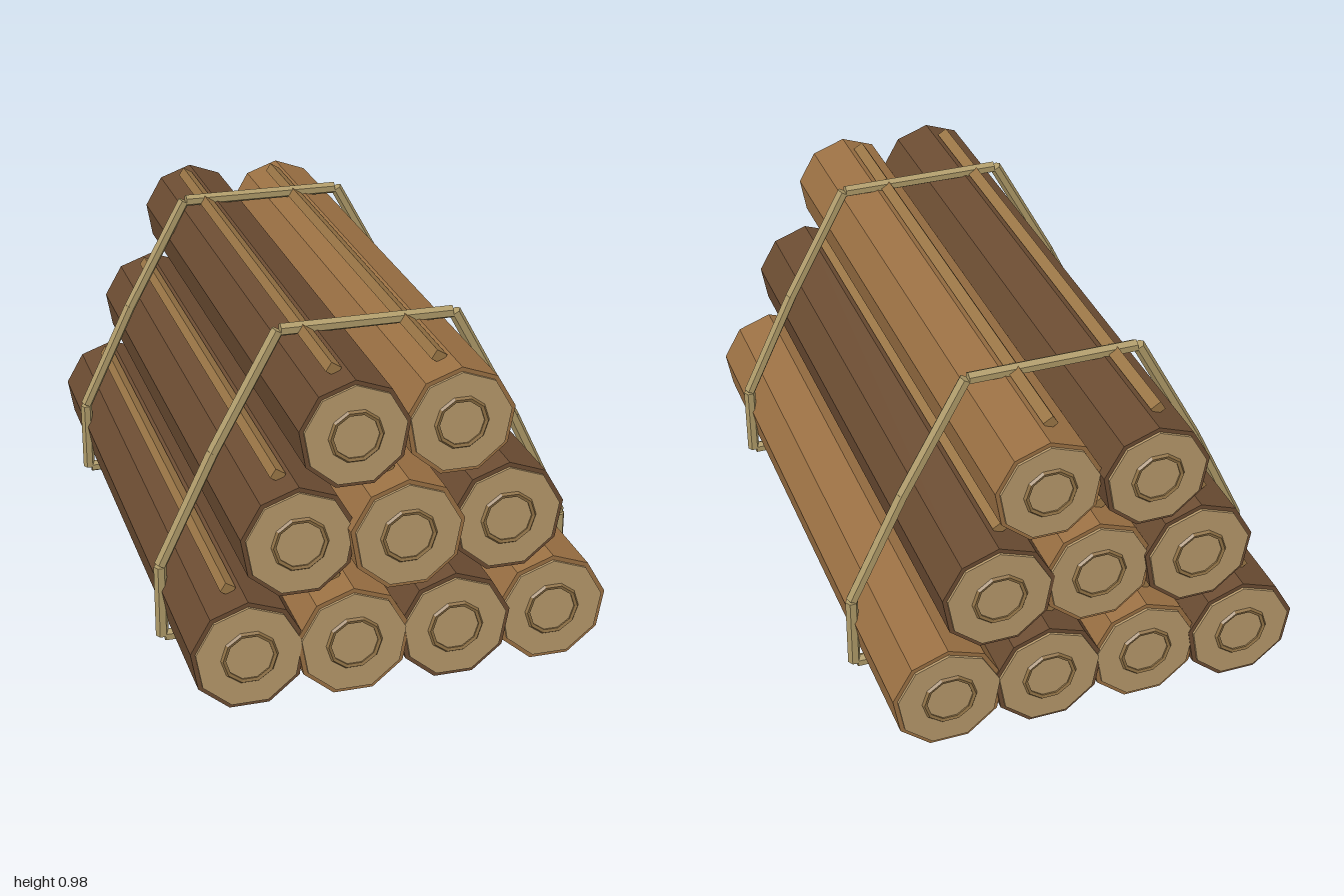
import * as THREE from 'three';

const mat = (color) => new THREE.MeshStandardMaterial({ color, flatShading: true });

const darkBark = mat(0x6b4c32);
const lightBark = mat(0x9a7043);
const cutWood = mat(0xb6986a);
const ringWood = mat(0x8f7145);
const ridgeWood = mat(0x9a7646);
const rope = mat(0xae9a68);

function addMesh(parent, name, geometry, material, x = 0, y = 0, z = 0) {
  const mesh = new THREE.Mesh(geometry, material);
  mesh.name = name;
  mesh.position.set(x, y, z);
  parent.add(mesh);
  return mesh;
}

// Nine-sided prism lying along z with one corner pointing up
const prism = (radius, length) =>
  new THREE.CylinderGeometry(radius, radius, length, 9).rotateX(-Math.PI / 2);

// One log: bark, pale sawn ends, growth rings and an optional bark ridge
function createLog(x, y, radius, back, front, bark, hasRidge) {
  const log = new THREE.Group();
  log.name = 'log';
  log.position.set(x, y, (front + back) / 2);
  const length = front - back;
  const cap = 0.012;
  addMesh(log, 'bark', prism(radius, length - 2 * cap), bark);
  for (const side of [-1, 1]) {
    const end = side * (length / 2 - cap);
    addMesh(log, 'sawnEnd', prism(radius * 0.92, 0.016), cutWood, 0, 0, end);
    const ring = new THREE.TorusGeometry(radius * 0.445, 0.008, 5, 10);
    addMesh(log, 'growthRing', ring, ringWood, 0, 0, end + side * 0.008);
  }
  if (hasRidge) {
    const ridge = addMesh(log, 'barkRidge', new THREE.BoxGeometry(0.034, 0.03, length - 0.2),
      ridgeWood, -0.035, radius - 0.002);
    ridge.rotation.z = -0.56;
  }
  return log;
}

// Straight six-sided strap piece between two points
function addStrapPiece(parent, a, b) {
  const start = new THREE.Vector3(...a, 0);
  const dir = new THREE.Vector3(...b, 0).sub(start);
  const geometry = new THREE.CylinderGeometry(0.019, 0.019, dir.length(), 6).rotateY(Math.PI / 2);
  const piece = addMesh(parent, 'strapPiece', geometry, rope);
  piece.position.copy(start).addScaledVector(dir, 0.5);
  piece.rotation.z = Math.atan2(dir.y, dir.x) - Math.PI / 2;
}

function createStrap(z) {
  const strap = new THREE.Group();
  strap.name = 'strap';
  strap.position.z = z;
  addStrapPiece(strap, [-0.61, 0.038], [0.61, 0.038]);
  addStrapPiece(strap, [-0.255, 0.963], [0.255, 0.963]);
  for (const s of [-1, 1]) {
    addStrapPiece(strap, [s * 0.618, 0.04], [s * 0.618, 0.267]);
    addStrapPiece(strap, [s * 0.617, 0.272], [s * 0.455, 0.61]);
    addStrapPiece(strap, [s * 0.455, 0.61], [s * 0.262, 0.963]);
  }
  return strap;
}

export function createModel() {
  const model = new THREE.Group();
  model.name = 'logPile';

  // Rows of the stack; ends holds the back and front z of each log
  const rows = [
    { y: 0.163, radius: 0.168, x: -0.453,
      ends: [[-0.99, 0.985], [-0.98, 0.99], [-0.985, 0.985], [-0.98, 0.965]] },
    { y: 0.483, radius: 0.168, x: -0.302, ends: [[-0.985, 0.965], [-0.97, 1], [-0.98, 0.975]] },
    { y: 0.797, radius: 0.16, x: -0.151, ends: [[-1, 0.985], [-0.965, 0.98]] },
  ];
  for (const row of rows) {
    row.ends.forEach(([back, front], i) => {
      const bark = i % 2 ? lightBark : darkBark;
      model.add(createLog(row.x + i * 0.301, row.y, row.radius, back, front, bark, i < 3));
    });
  }

  // Two straps around the stack
  for (const z of [-0.59, 0.59]) model.add(createStrap(z));
  return model;
}
